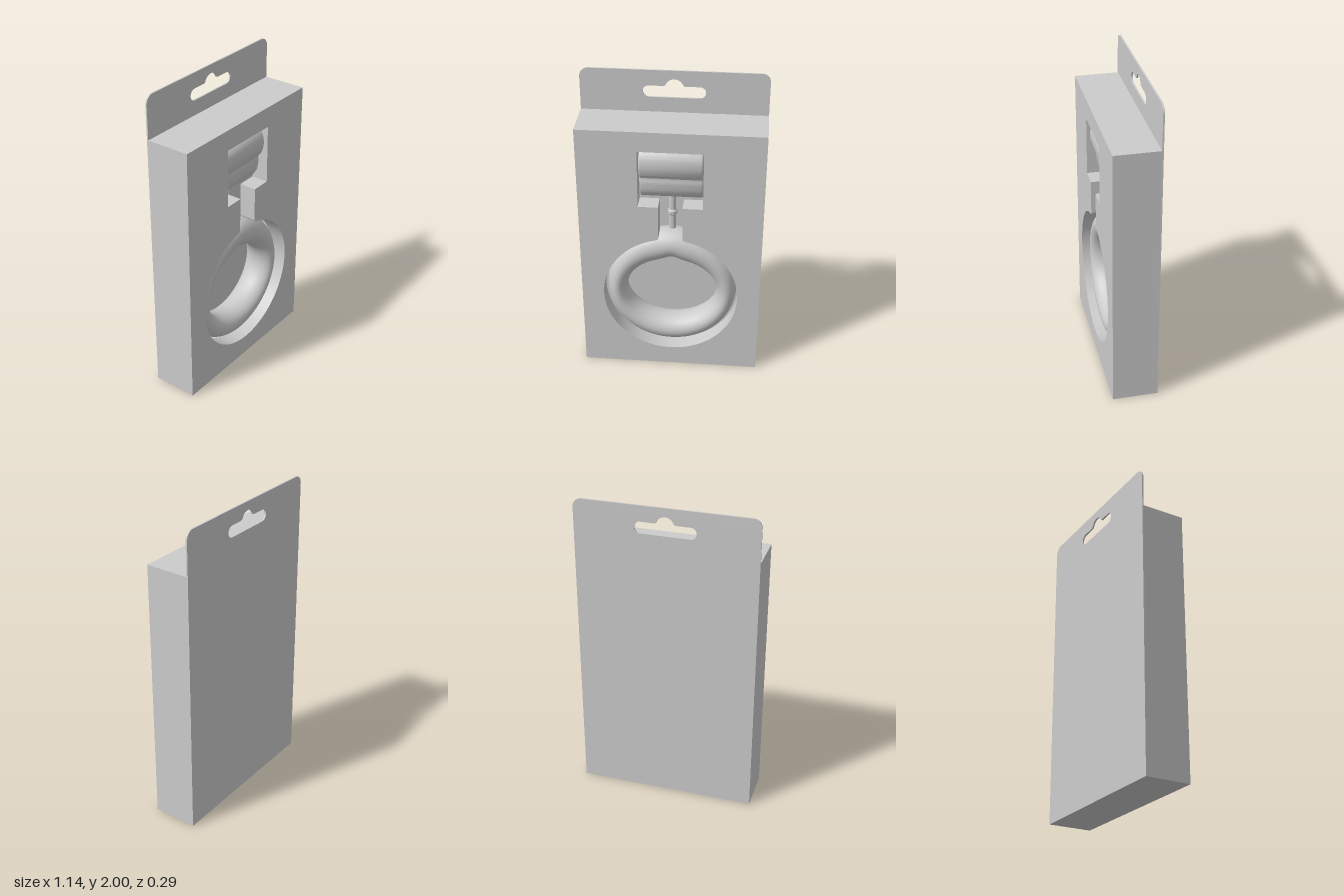
import * as THREE from 'three';
import { toCreasedNormals } from 'three/addons/utils/BufferGeometryUtils.js';

const W = 0.57, H = 1.73, D = 0.145, LEDGE = 0.033;
const material = new THREE.MeshStandardMaterial({ color: 0xcccccc, side: THREE.DoubleSide });

function add(group, name, geometry) {
  const mesh = new THREE.Mesh(geometry, material);
  mesh.name = name;
  group.add(mesh);
  return mesh;
}

function rect(Type, x, y0, y1) {
  const s = new Type();
  s.moveTo(-x, y0);
  s.lineTo(x, y0);
  s.lineTo(x, y1);
  s.lineTo(-x, y1);
  s.closePath();
  return s;
}

function slab(shape, z0, z1) {
  const g = new THREE.ExtrudeGeometry(shape, { depth: z1 - z0, bevelEnabled: false, curveSegments: 48 });
  return toCreasedNormals(g.translate(0, 0, z0), 0.5);
}

// Window outline: square above, narrow channel, round opening below
function windowPath() {
  const p = new THREE.Path(), cy = 0.56, r = 0.43, a = Math.acos(0.09 / r);
  const joinY = cy + r * Math.sin(a);
  p.moveTo(0.075, 1.22);
  p.lineTo(0.2, 1.22);
  p.lineTo(0.2, 1.6);
  p.lineTo(-0.2, 1.6);
  p.lineTo(-0.2, 1.22);
  p.lineTo(-0.075, 1.22);
  p.lineTo(-0.075, 1.0);
  p.quadraticCurveTo(-0.075, 0.985, -0.09, joinY);
  p.absarc(0, cy, r, Math.PI - a, Math.PI * 2 + a, false);
  p.quadraticCurveTo(0.075, 0.985, 0.075, 1.0);
  p.closePath();
  return p;
}

// Back card with rounded top corners and a hanger slot
function cardShape() {
  const s = new THREE.Shape(), r = 0.055;
  s.moveTo(-W, 0);
  s.lineTo(W, 0);
  s.lineTo(W, 2 - r);
  s.absarc(W - r, 2 - r, r, 0, Math.PI / 2, false);
  s.absarc(-W + r, 2 - r, r, Math.PI / 2, Math.PI, false);
  s.closePath();
  const h = new THREE.Path(), e = 0.037, y = 1.863;
  h.moveTo(-0.153, y - e);
  h.absarc(0.153, y, e, -Math.PI / 2, Math.PI / 2, false);
  h.lineTo(0.07, y + e);
  h.quadraticCurveTo(0.056, y + e, 0.052, y + e + 0.01);
  h.absarc(0, 1.89, 0.055, 0.36, Math.PI - 0.36, false);
  h.quadraticCurveTo(-0.056, y + e, -0.07, y + e);
  h.absarc(-0.153, y, e, Math.PI / 2, Math.PI * 1.5, false);
  s.holes.push(h);
  return s;
}

// Round ring with a wide oval hole, swept from oval cross-sections
function ringGeometry() {
  const U = 128, V = 32, pos = [], index = [];
  for (let i = 0; i < U; i++) {
    const u = (i / U) * Math.PI * 2, c = Math.cos(u), s = Math.sin(u);
    const ox = 0.42 * c, oy = 0.56 + 0.425 * s;
    const ix = 0.29 * c;
    const bump = s > 0 ? 0.02 * Math.exp(-((ix / 0.045) ** 2)) : 0;
    const iy = 0.54 + 0.23 * s + bump;
    for (let j = 0; j < V; j++) {
      const v = (j / V) * Math.PI * 2, k = Math.cos(v) / 2;
      pos.push((ox + ix) / 2 + (ox - ix) * k, (oy + iy) / 2 + (oy - iy) * k, 0.105 * Math.sin(v));
      const a = i * V + j, b = ((i + 1) % U) * V + j;
      const d = i * V + ((j + 1) % V), e = ((i + 1) % U) * V + ((j + 1) % V);
      index.push(a, b, e, a, e, d);
    }
  }
  const g = new THREE.BufferGeometry();
  g.setAttribute('position', new THREE.Float32BufferAttribute(pos, 3));
  g.setIndex(index);
  g.computeVertexNormals();
  return g;
}

// Two-lobed side profile (depth, height) carried across the width
function clipGeometry() {
  const outline = [
    [-0.10, 1.25], [-0.10, 1.57], [-0.03, 1.583], [0.06, 1.578], [0.105, 1.54], [0.114, 1.48],
    [0.098, 1.425], [0.075, 1.395], [0.076, 1.35], [0.062, 1.29], [0.02, 1.245], [-0.05, 1.237],
  ].map(([z, y]) => new THREE.Vector2(-z, y));
  const s = new THREE.Shape();
  s.moveTo(outline[0].x, outline[0].y);
  s.lineTo(outline[1].x, outline[1].y);
  s.splineThru(outline.slice(2));
  s.closePath();
  const g = new THREE.ExtrudeGeometry(s, {
    depth: 0.366, bevelSize: 0.012, bevelThickness: 0.012, bevelSegments: 3, curveSegments: 60,
  });
  g.translate(0, 0, -0.183).rotateY(Math.PI / 2);
  return toCreasedNormals(g, 0.6);
}

export function createModel() {
  const model = new THREE.Group();
  model.name = 'hangingPackage';

  // Box: window panel in front, hollow walls behind it, card at the back
  const front = rect(THREE.Shape, W, 0, H);
  front.holes.push(windowPath());
  add(model, 'windowPanel', slab(front, LEDGE, D));
  const walls = rect(THREE.Shape, W, 0, H);
  walls.holes.push(rect(THREE.Path, W - 0.01, 0.01, H - 0.01));
  add(model, 'boxWalls', slab(walls, -D + 0.01, LEDGE));
  add(model, 'backCard', slab(cardShape(), -D, -D + 0.01));

  // Packed item: clip, stem with collar, ring
  const item = new THREE.Group();
  item.name = 'ringAndClip';
  model.add(item);
  add(item, 'clip', clipGeometry());
  add(item, 'ring', ringGeometry());
  const stem = [[0, 0.96], [0.022, 0.96], [0.022, 1.082], [0.03, 1.092], [0.03, 1.112],
    [0.022, 1.122], [0.022, 1.25], [0, 1.25]].map(([r, y]) => new THREE.Vector2(r, y));
  add(item, 'stem', toCreasedNormals(new THREE.LatheGeometry(stem, 32), 0.5)).position.z = -0.015;
  return model;
}
